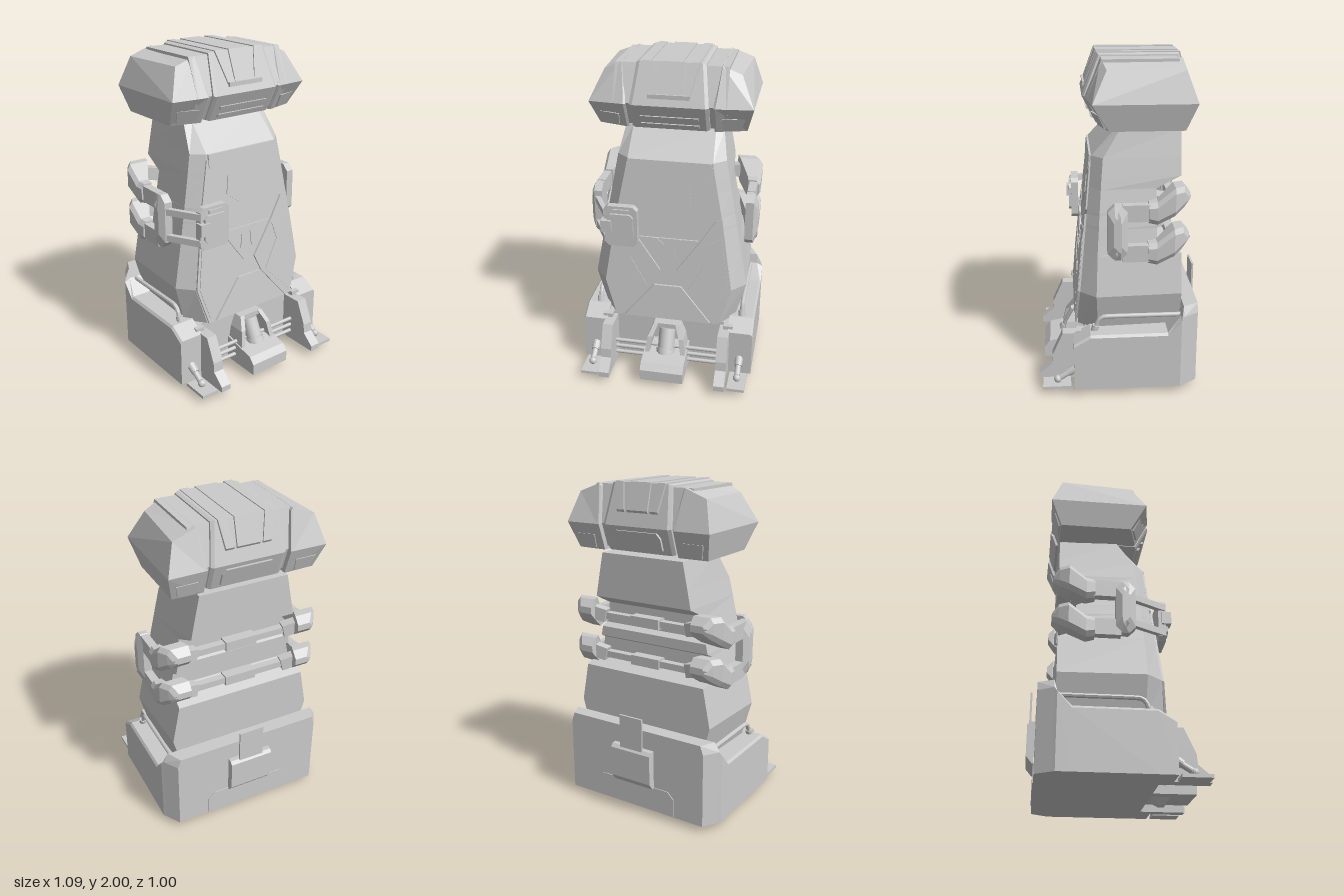
import * as THREE from 'three';

const V = (x, y, z) => new THREE.Vector3(x, y, z);
const flat = new THREE.MeshStandardMaterial({ color: 0xcccccc, flatShading: true });
const smooth = new THREE.MeshStandardMaterial({ color: 0xcccccc });

// Reverse the corner order of a non-indexed geometry
function flip(g) {
  const p = g.attributes.position;
  for (let i = 0; i < p.count; i += 3) {
    const a = V().fromBufferAttribute(p, i + 1), b = V().fromBufferAttribute(p, i + 2);
    p.setXYZ(i + 1, b.x, b.y, b.z);
    p.setXYZ(i + 2, a.x, a.y, a.z);
  }
  g.computeVertexNormals();
  return g;
}

// Closed solid through rings of equal point count
function loft(rings) {
  const t = [], n = rings[0].length;
  for (let r = 0; r < rings.length - 1; r++) for (let i = 0; i < n; i++) {
    const j = (i + 1) % n, a = rings[r], b = rings[r + 1];
    t.push(a[i], a[j], b[j], a[i], b[j], b[i]);
  }
  for (const [ring, end] of [[rings[0], 0], [rings[rings.length - 1], 1]]) {
    for (let i = 1; i < n - 1; i++) t.push(ring[0], ring[end ? i : i + 1], ring[end ? i + 1 : i]);
  }
  let vol = 0;
  for (let i = 0; i < t.length; i += 3) vol += t[i].dot(V().crossVectors(t[i + 1], t[i + 2]));
  const g = new THREE.BufferGeometry().setFromPoints(t);
  if (vol < 0) flip(g);
  g.computeVertexNormals();
  return g;
}

const mirror = (geo) => {
  const g = geo.index ? geo.toNonIndexed() : geo.clone();
  g.scale(-1, 1, 1);
  return flip(g);
};
const symmetric = (pts) => [...pts, ...pts.slice().reverse().filter(p => p[0] > 0).map(([x, y]) => [-x, y])];

// Box given by its limits
const box = (x0, x1, y0, y1, z0, z1) => new THREE.BoxGeometry(x1 - x0, y1 - y0, z1 - z0)
  .translate((x0 + x1) / 2, (y0 + y1) / 2, (z0 + z1) / 2);

// Rectangular bar between two points
function beam(a, b, w, h) {
  const g = new THREE.BoxGeometry(w, h, a.distanceTo(b));
  const m = new THREE.Matrix4().lookAt(a, b, V(0, 1, 0)).setPosition(a.clone().lerp(b, 0.5));
  return g.applyMatrix4(m);
}

// Round bar between two points
function rod(a, b, r, r2 = r) {
  const g = new THREE.CylinderGeometry(r2, r, a.distanceTo(b), 14);
  const q = new THREE.Quaternion().setFromUnitVectors(V(0, 1, 0), b.clone().sub(a).normalize());
  return g.applyQuaternion(q).translate(...a.clone().lerp(b, 0.5).toArray());
}

// Thin panel drawn in x,y and laid on a sloping surface z = f(x, y)
function plate(pts, f, depth = 0.014) {
  const s = new THREE.Shape(pts.map(p => new THREE.Vector2(...p)));
  const g = new THREE.ExtrudeGeometry(s, { depth, bevelEnabled: false });
  const p = g.attributes.position;
  for (let i = 0; i < p.count; i++) p.setZ(i, p.getZ(i) + f(p.getX(i), p.getY(i)));
  return g;
}

// Side profile in z,y given thickness along x
function sideProfile(pts, x0, x1) {
  const s = new THREE.Shape(pts.map(([z, y]) => new THREE.Vector2(-z, y)));
  return new THREE.ExtrudeGeometry(s, { depth: x1 - x0, bevelEnabled: false }).rotateY(Math.PI / 2).translate(x0, 0, 0);
}

export function createModel() {
  const model = new THREE.Group();
  let group = model;
  const part = (name) => { group = new THREE.Group(); group.name = name; model.add(group); };
  const add = (name, geo, mat = flat) => {
    const m = new THREE.Mesh(geo, mat);
    m.name = name;
    group.add(m);
  };
  const pair = (name, geo, mat) => { add(name + 'Left', geo, mat); add(name + 'Right', mirror(geo), mat); };

  // Torso: y, front half width, front z, side half width, side front z, back z
  part('torso');
  const levels = [
    [0.38, 0.33, 0.26, 0.42, 0.14, -0.355], [0.62, 0.40, 0.243, 0.483, 0.15, -0.355],
    [0.86, 0.36, 0.219, 0.437, 0.14, -0.355], [0.92, 0.35, 0.213, 0.425, 0.137, -0.21],
    [1.01, 0.335, 0.204, 0.408, 0.13, -0.21], [1.03, 0.332, 0.202, 0.404, 0.13, -0.25],
    [1.09, 0.32, 0.196, 0.392, 0.125, -0.25], [1.11, 0.317, 0.194, 0.389, 0.124, -0.21],
    [1.24, 0.29, 0.181, 0.364, 0.115, -0.21], [1.31, 0.278, 0.174, 0.351, 0.11, -0.355],
    [1.42, 0.257, 0.165, 0.33, 0.1, -0.355], [1.58, 0.25, 0.02, 0.298, 0.0, -0.355]];
  add('torsoShell', loft(levels.map(([y, xf, zf, xs, zs, zb]) =>
    symmetric([[xf, zf], [xs, zs], [xs - 0.02, zb]]).map(([x, z]) => V(x, y, z)))));
  const chestZ = (x, y) => 0.163 + (1.42 - y) * 0.1;
  add('chestPlate', plate(symmetric([[0.25, 1.42], [0.25, 1.34], [0.12, 1.27], [0.135, 1.16], [0, 1.06]]), chestZ));
  add('ribPlate', plate(symmetric([[0.262, 1.39], [0.318, 1.11], [0.28, 1.085], [0.19, 0.955], [0.07, 0.94]]), chestZ, 0.009));
  add('wedgePlate', plate(symmetric([[0.185, 0.93], [0.035, 0.72]]), chestZ, 0.009));
  pair('wedgeRib', plate([[0.07, 0.93], [0.085, 0.93], [0.04, 0.88], [0.055, 0.8], [0.03, 0.8], [0.025, 0.89]], chestZ));
  pair('thighPlate', plate([[0.2, 0.93], [0.285, 1.065], [0.325, 1.085], [0.398, 0.62], [0.328, 0.385],
    [0.29, 0.385], [0.1, 0.61], [0.05, 0.72]], chestZ, 0.012));
  add('bellyPlate', plate(symmetric([[0.085, 0.615], [0.275, 0.385]]), chestZ));
  pair('waistInset', plate([[0.13, 0.61], [0.235, 0.79], [0.2, 0.9], [0.33, 0.96], [0.38, 0.62], [0.32, 0.42]], chestZ, 0.016));

  // Head: sections in z,y starting at the front ridge
  part('head');
  const hex = [[0.222, 1.76], [0.14, 1.6], [-0.36, 1.6], [-0.415, 1.755], [-0.35, 2], [0.127, 2]];
  const section = (x, k, taper = 0) => hex.map(([z, y]) =>
    V(x - Math.sign(x) * (y > 1.9 ? taper : 0), 1.79 + (y - 1.79) * k, -0.1 + (z + 0.1) * k));
  add('headCore', loft([section(-0.33, 0.9), section(0.33, 0.9)]));
  add('headCentre', loft([section(-0.23, 0.94, 0.03), section(-0.21, 0.975, 0.03), section(0.21, 0.975, 0.03), section(0.23, 0.94, 0.03)]));
  const wingRing = (xMid, xTop, top, pull) => hex.map(([z, y]) =>
    V(y > 1.9 ? xTop : xMid, y > 1.9 ? top : y, z > 0 ? z - pull : z));
  const wing = [wingRing(0.253, 0.278, 1.965, 0.028), wingRing(0.265, 0.29, 1.98, 0.02),
    [[0.48, 1.755, 0.165], [0.44, 1.6, 0.07], [0.44, 1.6, -0.355],
      [0.48, 1.755, -0.418], [0.425, 1.93, -0.355], [0.4, 1.93, 0.08]].map(p => V(...p))];
  pair('headWing', loft(wing));
  // Raised crest over the middle, narrowing down the brow
  const rail = (x, w) => {
    const path = [[x * 0.68, 1.815, 0.19], [x, 1.992, 0.12], [x, 1.992, -0.345], [x * 0.8, 1.84, -0.388]];
    return loft(path.map(([cx, y, z], i) => {
      const o = i < 2 ? 0.016 : -0.016, u = i === 1 || i === 2 ? 0.008 : 0.006;
      return [V(cx - w, y - 0.03, z - o), V(cx + w, y - 0.03, z - o), V(cx + w, y + u, z + o * 0.5), V(cx - w, y + u, z + o * 0.5)];
    }));
  };
  pair('crestRail', rail(0.14, 0.026));
  add('crestMiddle', rail(0, 0.07));
  add('browBar', beam(V(-0.12, 1.815, 0.195), V(0.12, 1.815, 0.195), 0.025, 0.025));
  const lowerFace = (x, y) => 0.125 + (y - 1.6) * 0.5;
  for (const y of [1.625, 1.675]) add('ventSlat', plate([[-0.17, y], [0.17, y], [0.17, y + 0.018], [-0.17, y + 0.018]], lowerFace, 0.022));
  const wingFace = (x, y) => 0.115 + (y - 1.6) * 0.55 - (x - 0.285) * 0.3;
  pair('wingVent', plate([[0.31, 1.61], [0.41, 1.61], [0.43, 1.69], [0.3, 1.69]], wingFace, 0.012));
  // Panels on the lower rear slope
  const rearFace = (x, y) => -0.367 - (y - 1.6) * 0.355;
  pair('wingRearVent', plate([[0.31, 1.61], [0.41, 1.61], [0.43, 1.69], [0.3, 1.69]], rearFace));
  add('rearPanel', plate(symmetric([[0.14, 1.73], [0.16, 1.7], [0.16, 1.63]]), rearFace, 0.02));

  // Harness: two bands round the sides and the back
  part('harness');
  pair('sidePad', loft([[0.45, 0.86, 1.19, 0.085], [0.5, 0.86, 1.19, 0.085], [0.525, 0.91, 1.13, 0.05]].map(([x, y0, y1, z]) => {
    const c = 0.04, z1 = 0.055 - z;
    return [V(x, y0, z - c), V(x, y0 + c, z), V(x, y1 - c, z), V(x, y1, z - c),
      V(x, y1, z1 + c), V(x, y1 - c, z1), V(x, y0 + c, z1), V(x, y0, z1 + c)];
  })));
  for (const y of [1.14, 0.895]) {
    pair('sideBand', beam(V(0.475, y, 0), V(0.475, y, -0.17), 0.05, 0.1));
    // Angular hook rising to the rear corner
    const ring = (z, lo, hi, x0, x1) => [V(x0, y + lo, z), V(x1 - 0.02, y + lo, z), V(x1, y + lo + 0.03, z),
      V(x1, y + hi - 0.03, z), V(x1 - 0.02, y + hi, z), V(x0, y + hi, z)];
    pair('bandHook', loft([ring(-0.15, -0.06, 0.06, 0.44, 0.51), ring(-0.2, -0.07, 0.065, 0.43, 0.515),
      ring(-0.3, -0.02, 0.145, 0.37, 0.515), ring(-0.355, 0.02, 0.145, 0.35, 0.48), ring(-0.392, 0.06, 0.1, 0.35, 0.45)]));
    pair('hookReturn', beam(V(0.42, y + 0.075, -0.335), V(0.29, y + 0.045, -0.31), 0.06, 0.08));
    add('rearBar', beam(V(-0.3, y + 0.045, -0.3), V(0.3, y + 0.045, -0.3), 0.045, 0.04));
    add('rearBarPlate', box(-0.1, 0.1, y + 0.015, y + 0.075, -0.335, -0.27));
    // Link running forward to the buckle
    const ly = y > 1 ? 1.095 : 0.93;
    add('buckleLink', beam(V(-0.49, ly, 0.06), V(-0.375, ly, 0.27), 0.03, 0.04));
  }
  const buckle = (x, y, c) => [[-x, -y + c], [-x + c, -y], [x - c, -y], [x, -y + c], [x, y - c], [x - c, y], [-x + c, y], [-x, y - c]]
    .map(([a, b]) => [a - 0.283, b + 1.015]);
  add('buckleBack', plate(buckle(0.103, 0.132, 0.025), () => 0.235, 0.045));
  add('buckleFace', plate(buckle(0.08, 0.085, 0.02), () => 0.275, 0.02));
  add('buckleTab', box(-0.33, -0.23, 1.11, 1.13, 0.27, 0.29));
  add('buckleKnob', box(-0.4, -0.335, 0.985, 1.06, 0.255, 0.31));

  // Base: side walls as z, outer x, shoulder y, top x, top y
  part('base');
  const stations = [
    [0.29, 0.547, 0.325, 0.535, 0.34], [0.19, 0.547, 0.385, 0.535, 0.4], [-0.27, 0.547, 0.385, 0.535, 0.4],
    [-0.35, 0.547, 0.475, 0.51, 0.495], [-0.365, 0.537, 0.5, 0.505, 0.555], [-0.455, 0.48, 0.5, 0.46, 0.555]];
  pair('sideWall', loft(stations.map(([z, x, y, xt, yt]) =>
    [V(0.39, 0.04, z), V(x, 0.04, z), V(x, y, z), V(xt, yt, z), V(0.39, yt, z)])));
  pair('innerStep', box(0.36, 0.42, 0.04, 0.37, -0.4, 0.27));
  add('floorBlock', box(-0.4, 0.4, 0.04, 0.365, -0.455, 0.22));
  add('rearWall', box(-0.4, 0.4, 0.3, 0.555, -0.455, -0.365));
  const railPath = new THREE.CatmullRomCurve3([V(0.465, 0.38, 0.17), V(0.465, 0.46, 0.14), V(0.465, 0.485, 0.1),
    V(0.465, 0.485, -0.2), V(0.465, 0.485, -0.37)], false, 'catmullrom', 0.2);
  pair('handRail', new THREE.TubeGeometry(railPath, 24, 0.014, 8), smooth);
  pair('railSocket', rod(V(0.465, 0.39, 0.168), V(0.465, 0.43, 0.155), 0.022), smooth);

  // Front fins, cross bars and foot pads
  pair('frontFin', sideProfile([[0.2, 0.04], [0.5, 0.04], [0.5, 0.075], [0.425, 0.14], [0.42, 0.2], [0.355, 0.345], [0.2, 0.345]], 0.335, 0.402));
  for (const y of [0.1, 0.145, 0.19]) add('crossBar', rod(V(-0.34, y, 0.29), V(0.34, y, 0.29), 0.012), smooth);
  pair('footPad', box(0.415, 0.525, 0.036, 0.055, 0.31, 0.48));
  pair('footRod', rod(V(0.47, 0.15, 0.27), V(0.47, 0.085, 0.375), 0.018), smooth);
  pair('footSleeve', rod(V(0.47, 0.15, 0.275), V(0.47, 0.118, 0.325), 0.027, 0.024), smooth);
  pair('footJoint', new THREE.SphereGeometry(0.024, 14, 10).translate(0.47, 0.075, 0.39), smooth);

  // Central cradle holding a sloping cylinder
  part('cradle');
  add('cradleFloor', sideProfile([[0.2, 0.04], [0.475, 0.04], [0.475, 0.11], [0.44, 0.15], [0.345, 0.17], [0.2, 0.2]], -0.137, 0.137));
  pair('cradleCheek', loft([[0.14, 0.135, 0.36], [0.27, 0.115, 0.33], [0.345, 0.085, 0.28]].map(([y, x, z]) =>
    [V(x - 0.03, y, 0.2), V(x, y, 0.2), V(x, y, z), V(x - 0.03, y, z)])));
  add('cradleTop', box(-0.085, 0.085, 0.315, 0.345, 0.2, 0.28));
  add('cradleCylinder', rod(V(0, 0.15, 0.33), V(0, 0.3, 0.255), 0.052), smooth);
  add('cylinderCollar', rod(V(0, 0.16, 0.325), V(0, 0.185, 0.312), 0.06), smooth);
  add('cradleKeel', loft([[0.04, 0.065, 0.33, 0.22], [0, 0.03, 0.31, 0.275]].map(([y, x, z1, z0]) =>
    [V(-x, y, z0), V(x, y, z0), V(x, y, z1), V(-x, y, z1)])));

  // Rear latch and lower skirt panel
  part('rearLatch');
  add('latchStrap', box(-0.08, 0.08, 0.36, 0.64, -0.492, -0.48));
  add('latchBlock', sideProfile([[-0.45, 0.19], [-0.465, 0.19], [-0.502, 0.235], [-0.502, 0.42], [-0.485, 0.44], [-0.45, 0.44]], -0.14, 0.14));
  add('skirtPanel', plate(symmetric([[0.24, 0.2], [0.28, 0.16], [0.28, 0.045]]), () => -0.46, 0.02));
  return model;
}
